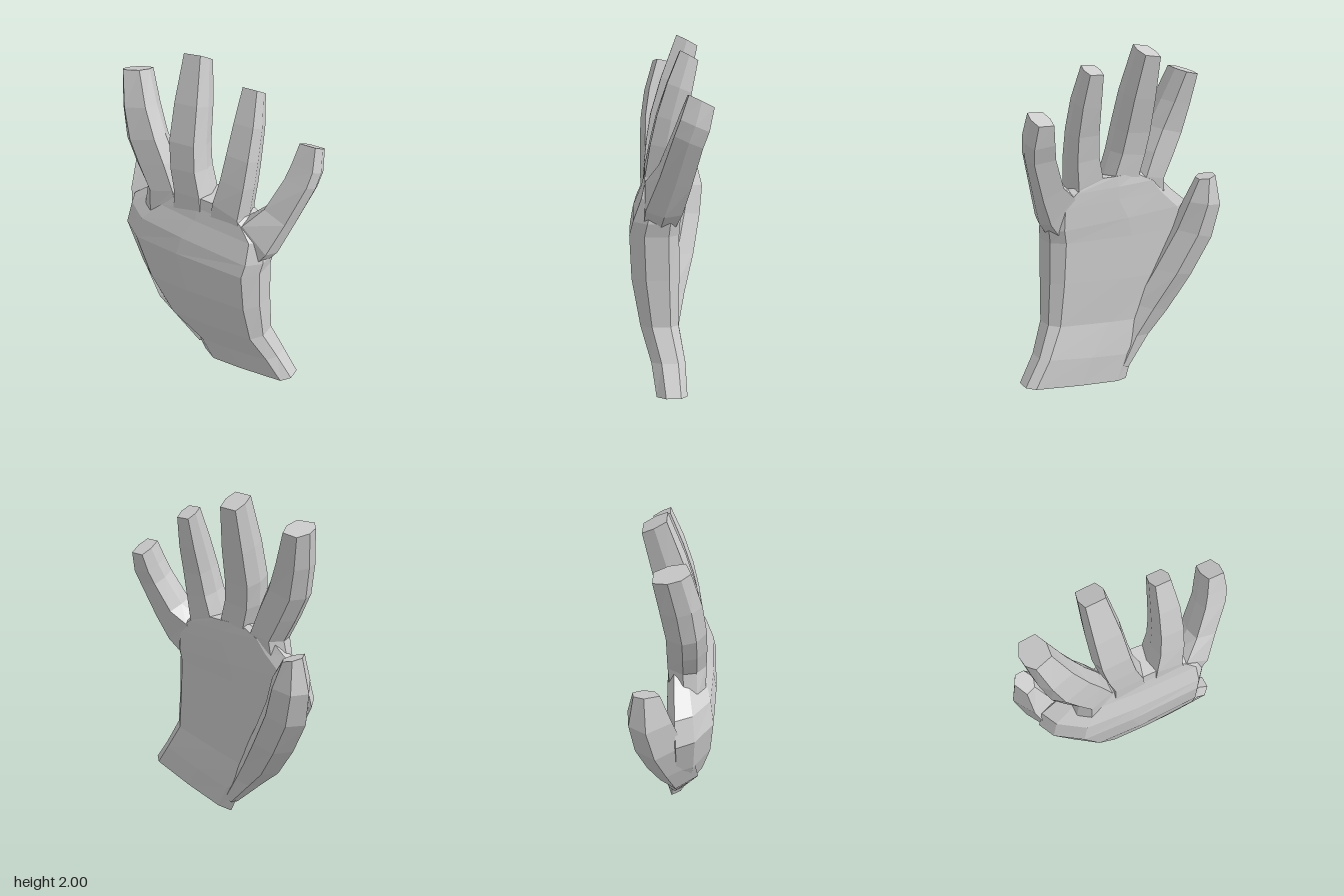
import * as THREE from 'three';

// Cross-section outlines: [t across from -x to +x, u from back to front]
const PALM = [[0, 0.18], [0.05, 0.55], [0.2, 0.93], [0.5, 1], [0.93, 1], [1, 0.7], [1, 0.22], [0.93, 0], [0.5, -0.05], [0.12, 0]];
const FINGER = [[0, 0.5], [0.1, 1], [0.88, 1], [1, 0.5], [0.88, 0], [0.1, 0]];
const INDEX = [[0, 0.4], [0.06, 0.75], [0.32, 1], [0.95, 0.85], [1, 0.4], [0.8, 0], [0.2, 0]];
const THUMB = [[0, 0.45], [0.36, 1], [0.85, 0.8], [1, 0.38], [0.7, 0], [0.22, 0.06]];

// Skins a stack of sections [xl, yl, xr, yr, zFront, zBack, drop of the back edge]
function loft(name, outline, sections, material) {
  const n = outline.length, pos = [], index = [];
  for (const [xl, yl, xr, yr, zf, zb, drop = 0] of sections) {
    for (const [t, u] of outline) {
      pos.push(xl + (xr - xl) * t, yl + (yr - yl) * t - drop * (1 - u), zb + (zf - zb) * u);
    }
  }
  for (let s = 0; s < sections.length - 1; s++) {
    for (let i = 0; i < n; i++) {
      const a = s * n + i, b = s * n + (i + 1) % n;
      index.push(a, b, b + n, a, b + n, a + n);
    }
  }
  // End caps
  const top = (sections.length - 1) * n;
  for (let i = 1; i < n - 1; i++) {
    index.push(0, i + 1, i, top, top + i, top + i + 1);
  }
  const geometry = new THREE.BufferGeometry();
  geometry.setAttribute('position', new THREE.Float32BufferAttribute(pos, 3));
  geometry.setIndex(index);
  geometry.computeVertexNormals();
  const mesh = new THREE.Mesh(geometry, material);
  mesh.name = name;
  return mesh;
}

export function createModel() {
  const hand = new THREE.Group();
  hand.name = 'hand';
  const material = new THREE.MeshStandardMaterial({ color: 0xcccccc, flatShading: true });
  const add = (name, outline, sections) => hand.add(loft(name, outline, sections, material));

  // Wrist flare, palm and knuckle line
  add('palm', PALM, [
    [-0.04, 0, 0.635, 0.13, 0.1, -0.06],
    [-0.1, 0.16, 0.54, 0.28, 0.125, -0.055],
    [-0.31, 0.35, 0.46, 0.45, 0.18, -0.025],
    [-0.46, 0.62, 0.44, 0.7, 0.225, -0.03],
    [-0.57, 0.9, 0.43, 0.93, 0.235, -0.03],
    [-0.53, 1.05, 0.44, 1.0, 0.215, -0.035],
    [-0.38, 1.16, 0.42, 1.12, 0.17, -0.035],
    [-0.3, 1.23, 0.34, 1.2, 0.15, -0.035],
    [-0.15, 1.28, 0.2, 1.27, 0.14, -0.03],
  ]);

  add('indexFinger', INDEX, [
    [-0.38, 1.08, -0.1, 1.12, 0.17, -0.02],
    [-0.35, 1.22, -0.14, 1.26, 0.17, -0.035],
    [-0.42, 1.36, -0.19, 1.41, 0.17, -0.035, 0.01],
    [-0.48, 1.5, -0.25, 1.55, 0.165, -0.035, 0.02],
    [-0.51, 1.68, -0.32, 1.71, 0.14, -0.06, 0.03],
    [-0.53, 1.87, -0.39, 1.89, 0.085, -0.09, 0.04],
  ]);

  add('middleFinger', FINGER, [
    [-0.16, 1.1, 0.08, 1.1, 0.16, -0.02],
    [-0.15, 1.27, 0.06, 1.28, 0.15, -0.035],
    [-0.18, 1.4, 0.02, 1.42, 0.135, -0.045, 0.02],
    [-0.2, 1.55, 0, 1.56, 0.11, -0.065, 0.04],
    [-0.2, 1.75, -0.02, 1.76, 0.05, -0.11, 0.05],
    [-0.19, 1.99, -0.06, 2, -0.04, -0.16, 0.06],
  ]);

  add('ringFinger', FINGER, [
    [0.08, 1.1, 0.34, 1.1, 0.16, -0.02],
    [0.1, 1.28, 0.3, 1.22, 0.15, -0.035],
    [0.13, 1.42, 0.31, 1.4, 0.12, -0.045, 0.03],
    [0.145, 1.56, 0.31, 1.55, 0.085, -0.065, 0.04],
    [0.155, 1.72, 0.3, 1.72, 0.03, -0.1, 0.05],
    [0.165, 1.89, 0.27, 1.89, -0.04, -0.135, 0.05],
  ]);

  add('littleFinger', FINGER, [
    [0.22, 1.1, 0.42, 0.96, 0.16, -0.01],
    [0.29, 1.22, 0.48, 1.05, 0.15, -0.04, 0.02],
    [0.38, 1.31, 0.54, 1.24, 0.08, -0.08, 0.05],
    [0.45, 1.48, 0.61, 1.46, 0.01, -0.13, 0.06],
    [0.47, 1.56, 0.62, 1.54, -0.02, -0.16, 0.06],
    [0.49, 1.66, 0.6, 1.66, -0.06, -0.185, 0.06],
  ]);

  // Thumb leaning back from the heel of the palm
  add('thumb', THUMB, [
    [-0.07, 0.07, 0.02, 0.1, 0.05, -0.05],
    [-0.24, 0.26, -0.04, 0.28, 0.1, -0.06],
    [-0.37, 0.4, -0.12, 0.46, 0.14, -0.1],
    [-0.5, 0.62, -0.24, 0.68, 0.12, -0.165],
    [-0.61, 0.85, -0.36, 0.92, 0.06, -0.215],
    [-0.645, 1.06, -0.42, 1.09, 0, -0.235],
    [-0.6, 1.25, -0.49, 1.22, -0.06, -0.2],
  ]);
  return hand;
}
